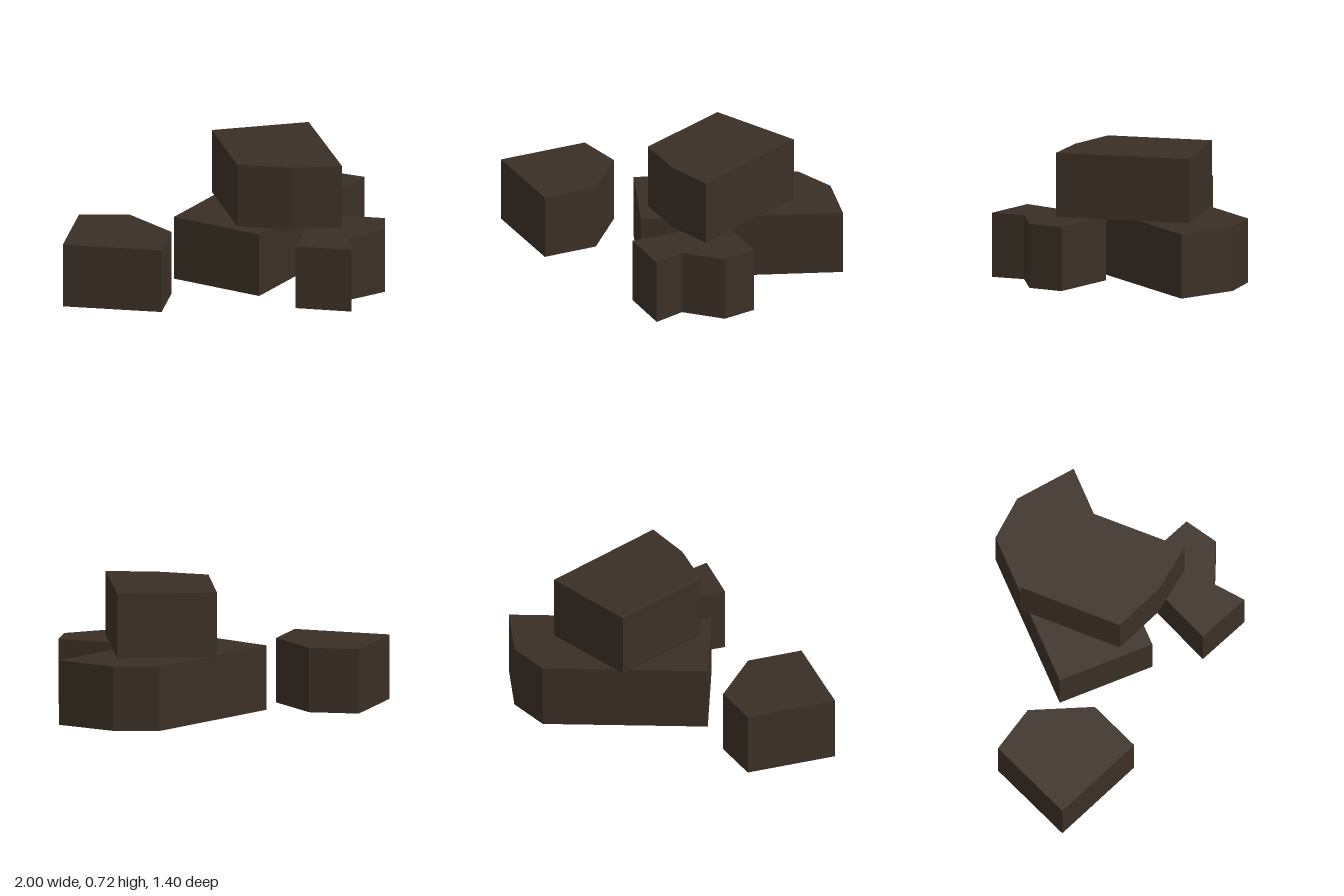
import * as THREE from 'three';

const HEIGHT = 0.36;

// Ground outlines as [x, z] corners, with the base height of each block
const BLOCKS = [
  { name: 'sideBlock', base: 0, outline: [[-1, -0.365], [-0.615, -0.7], [-0.4, -0.525], [-0.4, -0.155], [-0.635, 0.05]] },
  { name: 'largeSlab', base: 0, outline: [[-0.235, -0.34], [0.62, -0.65], [0.84, -0.52], [1, -0.2], [-0.05, 0.18]] },
  { name: 'notchedBlock', base: 0, outline: [[-0.02, 0.46], [0.185, 0.7], [0.285, 0.54], [0.535, 0.56], [0.66, 0.405], [0.405, 0.105]] },
  { name: 'topBlock', base: HEIGHT, outline: [[0.19, -0.535], [0.69, -0.305], [0.375, 0.38], [0.14, 0.225], [-0.06, 0]] },
];

// Upright prism over a ground outline
function prism(outline, base) {
  const shape = new THREE.Shape(outline.map(([x, z]) => new THREE.Vector2(x, -z)));
  const geometry = new THREE.ExtrudeGeometry(shape, { depth: HEIGHT, bevelEnabled: false });
  return geometry.rotateX(-Math.PI / 2).translate(0, base, 0);
}

export function createModel() {
  const group = new THREE.Group();
  group.name = 'brokenBlocks';
  const stone = new THREE.MeshStandardMaterial({ color: 0x3a2f25 });
  stone.name = 'dark brown stone';

  for (const { name, base, outline } of BLOCKS) {
    const mesh = new THREE.Mesh(prism(outline, base), stone);
    mesh.name = name;
    group.add(mesh);
  }
  return group;
}
